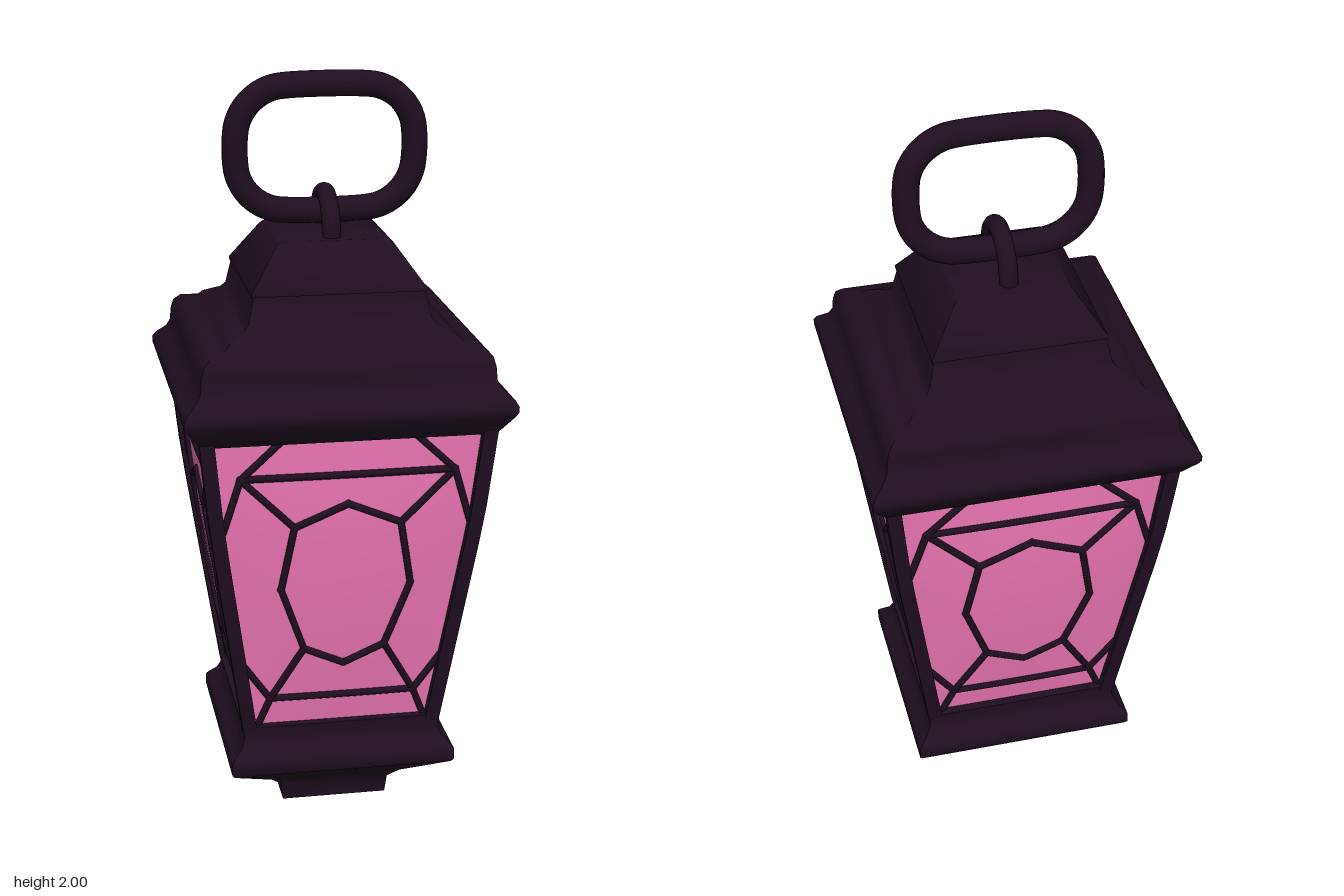
import * as THREE from 'three';
import { toCreasedNormals } from 'three/addons/utils/BufferGeometryUtils.js';

const metal = new THREE.MeshStandardMaterial({ color: 0x1f0e20 });
const pink = new THREE.MeshStandardMaterial({ color: 0xf078b8, side: THREE.DoubleSide });

const BOTTOM = 0.27, TOP = 1.13;

function add(parent, name, geometry, material = metal) {
  const mesh = new THREE.Mesh(geometry, material);
  mesh.name = name;
  parent.add(mesh);
  return mesh;
}

// Half width of the lantern body at height y
function halfWidth(y) {
  return y < 0.88 ? 0.36 + (y - 0.88) * 0.15 : 0.36 + (y - 0.88) * 0.104;
}

// Depth of the gently domed pane at (x, y)
function paneZ(x, y) {
  const w = halfWidth(y);
  const u = Math.min(1, Math.abs(x) / w);
  const v = THREE.MathUtils.clamp((y - BOTTOM) / (TOP - BOTTOM), 0, 1);
  return w - 0.026 + 0.016 * (1 - u * u) * Math.sin(Math.PI * v);
}

// Square moulding from a [half width, y] profile, bottom to top
function squareTurned(profile) {
  const points = profile.map(([w, y]) => new THREE.Vector2(w * Math.SQRT2, y));
  return toCreasedNormals(new THREE.LatheGeometry(points, 4).rotateY(Math.PI / 4), 0.7);
}

function reshape(geometry, rule) {
  const p = geometry.attributes.position;
  for (let i = 0; i < p.count; i++) p.setXYZ(i, ...rule(p.getX(i), p.getY(i), p.getZ(i)));
  geometry.computeVertexNormals();
  return geometry;
}

function postGeometry() {
  const size = 0.038;
  return reshape(new THREE.BoxGeometry(size, 1, size, 1, 8, 1), (x, y, z) => {
    const h = BOTTOM + (y + 0.5) * (TOP - BOTTOM);
    const c = halfWidth(h) - size / 2;
    return [c + x, h, c + z];
  });
}

function paneGeometry() {
  return reshape(new THREE.PlaneGeometry(2, 1, 16, 16), (u, v) => {
    const y = BOTTOM + (v + 0.5) * (TOP - BOTTOM);
    const x = u * (halfWidth(y) - 0.015);
    return [x, y, paneZ(x, y)];
  });
}

// Lead strip following the pane between two points
function leadGeometry([x0, y0], [x1, y1]) {
  const points = [0, 0.25, 0.5, 0.75, 1].map((t) => {
    const x = x0 + (x1 - x0) * t, y = y0 + (y1 - y0) * t;
    return new THREE.Vector3(x, y, paneZ(x, y) + 0.002);
  });
  return new THREE.TubeGeometry(new THREE.CatmullRomCurve3(points), 6, 0.01, 6);
}

// Lead pattern: gem outline in the middle, facets running to the corners
const gem = [[0, 0.94], [0.14, 0.88], [0.172, 0.7], [0.108, 0.518],
  [0, 0.467], [-0.108, 0.518], [-0.172, 0.7], [-0.14, 0.88]];
const leads = gem.map((p, i) => [p, gem[(i + 1) % gem.length]]);
leads.push([[-0.28, 1.02], [0.28, 1.02]], [[-0.195, 0.365], [0.195, 0.365]]);
for (const s of [-1, 1]) {
  const upper = [s * 0.28, 1.02], lower = [s * 0.195, 0.365];
  for (const [x, y] of [[0.175, 1.12], [0.325, 0.87], [0.14, 0.88]]) leads.push([upper, [s * x, y]]);
  for (const [x, y] of [[0.23, 0.275], [0.27, 0.475], [0.108, 0.518]]) leads.push([lower, [s * x, y]]);
}
const joints = [...gem, [-0.28, 1.02], [0.28, 1.02], [-0.195, 0.365], [0.195, 0.365]];

function createSide() {
  const side = new THREE.Group();
  add(side, 'cornerPost', postGeometry());
  add(side, 'glassPane', paneGeometry(), pink);
  for (const [a, b] of leads) add(side, 'leadStrip', leadGeometry(a, b));
  for (const [x, y] of joints) {
    add(side, 'leadJoint', new THREE.SphereGeometry(0.0105, 8, 6)).position.set(x, y, paneZ(x, y) + 0.002);
  }
  return side;
}

// Rounded-rectangle carrying ring
function ringGeometry() {
  const w = 0.237, h = 0.164, r = 0.135, points = [];
  for (let q = 0; q < 4; q++) {
    const cx = (q === 0 || q === 3 ? 1 : -1) * (w - r);
    const cy = (q < 2 ? 1 : -1) * (h - r);
    for (let i = 0; i <= 5; i++) {
      const a = (q + i / 5) * Math.PI / 2;
      points.push(new THREE.Vector3(cx + r * Math.cos(a), cy + r * Math.sin(a), 0));
    }
  }
  return new THREE.TubeGeometry(new THREE.CatmullRomCurve3(points, true), 96, 0.034, 14, true);
}

export function createModel() {
  const lantern = new THREE.Group();
  lantern.name = 'lantern';

  // Stepped foot
  add(lantern, 'base', squareTurned([
    [0, 0], [0.144, 0], [0.15, 0.05], [0.18, 0.08], [0.298, 0.155], [0.305, 0.165],
    [0.305, 0.195], [0.297, 0.205], [0.275, 0.228], [0.265, 0.25], [0.27, 0.285], [0, 0.285]]));

  // Four glazed sides, each with one corner post
  for (let i = 0; i < 4; i++) {
    const side = createSide();
    side.name = ['frontSide', 'leftSide', 'backSide', 'rightSide'][i];
    side.rotation.y = i * Math.PI / 2;
    lantern.add(side);
  }

  // Moulded roof and its upper cap
  add(lantern, 'roof', squareTurned([
    [0, 1.115], [0.375, 1.115], [0.39, 1.13], [0.42, 1.172], [0.427, 1.185], [0.427, 1.2],
    [0.418, 1.215], [0.39, 1.24], [0.38, 1.26], [0.377, 1.295], [0.37, 1.32], [0.352, 1.337],
    [0.31, 1.345], [0.295, 1.36], [0.25, 1.382], [0.238, 1.395], [0.222, 1.468], [0, 1.468]]));
  add(lantern, 'roofCap', squareTurned([
    [0, 1.462], [0.228, 1.462], [0.228, 1.47], [0.152, 1.578], [0.143, 1.585], [0, 1.585]]));

  // Hanging loop and ring
  const loop = add(lantern, 'hangingLoop', new THREE.TorusGeometry(0.1, 0.025, 12, 32, Math.PI));
  loop.rotation.y = Math.PI / 2;
  loop.position.y = 1.583;
  const ring = add(lantern, 'carryingRing', ringGeometry());
  ring.position.y = 1.802;
  ring.rotation.x = 0.04;
  return lantern;
}
